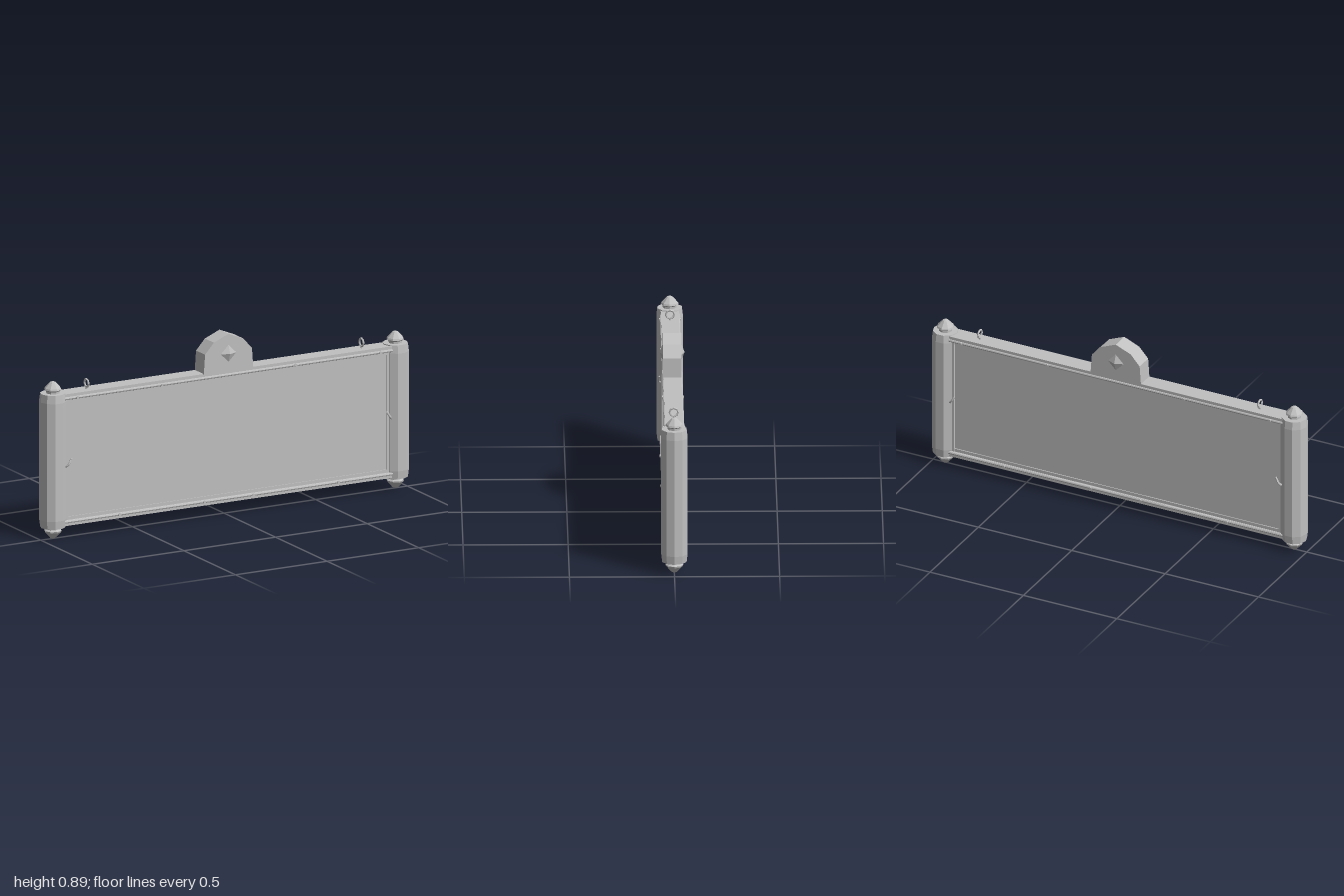
import * as THREE from 'three';

export function createModel() {
  const model = new THREE.Group();
  const grey = new THREE.MeshStandardMaterial({ color: 0xc0c0c0 });
  grey.name = 'plain grey';

  // Every surface is faceted, so give each triangle its own normal.
  function add(name, geometry, x = 0, y = 0, z = 0) {
    const flat = geometry.index ? geometry.toNonIndexed() : geometry;
    flat.computeVertexNormals();
    const mesh = new THREE.Mesh(flat, grey);
    mesh.name = name;
    mesh.position.set(x, y, z);
    model.add(mesh);
    return mesh;
  }
  const box = (name, w, h, d, x, y, z) => add(name, new THREE.BoxGeometry(w, h, d), x, y, z);
  const lathe = (points, sides) =>
    new THREE.LatheGeometry(points.map(([r, y]) => new THREE.Vector2(r, y)), sides, Math.PI / 2);

  // Recessed sign board
  box('panel', 1.78, 0.62, 0.06, 0, 0.39, 0);

  // Top and bottom rails, each with an inner lip and a bead on both faces
  for (const [end, mid, lip, bead] of [['top', 0.702, 0.682, 0.694], ['bottom', 0.08, 0.1, 0.086]]) {
    box(end + 'Rail', 1.8, 0.027, 0.086, 0, mid, 0);
    box(end + 'Lip', 1.78, 0.018, 0.07, 0, lip, 0);
    for (const side of [-1, 1]) {
      const rod = new THREE.CylinderGeometry(0.008, 0.008, 1.79, 8).rotateZ(Math.PI / 2);
      add(end + 'Bead', rod, 0, bead, side * 0.041);
      const spots = end === 'top' ? [0.365, 0.827] : [0.133, 0.597];
      for (const spot of spots) for (const s of [-1, 1]) {
        const stud = new THREE.CylinderGeometry(0.007, 0.007, 0.012, 6).rotateX(Math.PI / 2);
        add('rivet', stud, s * spot, bead, side * 0.047);
      }
    }
  }

  const finial = [[0, -0.005], [0.033, -0.005], [0.033, 0.01], [0.043, 0.017], [0.04, 0.025], [0.014, 0.053], [0, 0.058]];
  for (const s of [-1, 1]) {
    // Ten-sided end posts with tapered ends
    const post = lathe([[0, 0.06], [0.061, 0.06], [0.066, 0.1], [0.066, 0.68], [0.061, 0.72], [0, 0.72]], 10);
    add('endPost', post, s * 0.934);

    // Pointed finials above and below the posts
    add('topFinial', lathe(finial, 8), s * 0.934, 0.72);
    add('bottomFinial', lathe(finial, 8), s * 0.934, 0.06).rotation.x = Math.PI;

    // Slim upright trim beside the post
    box('sideTrim', 0.014, 0.6, 0.074, s * 0.876, 0.39, 0);

    // Hanging eyelets
    const ring = new THREE.TorusGeometry(0.02, 0.005, 5, 8).rotateY(Math.PI / 2);
    add('eyelet', ring, s * 0.75, 0.744, 0);
    add('eyeletStem', new THREE.CylinderGeometry(0.005, 0.005, 0.014, 6), s * 0.75, 0.718, 0);

    // Small bent hooks on both faces
    for (const side of [-1, 1]) {
      const path = new THREE.CatmullRomCurve3([
        new THREE.Vector3(s * 0.893, 0.358, side * 0.034),
        new THREE.Vector3(s * 0.884, 0.363, side * 0.05),
        new THREE.Vector3(s * 0.874, 0.375, side * 0.054),
        new THREE.Vector3(s * 0.862, 0.396, side * 0.05),
      ]);
      add('hook', new THREE.TubeGeometry(path, 6, 0.005, 6));
      const tip = new THREE.OctahedronGeometry(0.006);
      add('hookTip', tip, s * 0.862, 0.396, side * 0.05);
    }
  }

  // Arched crest
  const half = [[0.135, 0.71], [0.128, 0.81], [0.08, 0.863], [0, 0.896]];
  const outline = [...half, ...half.slice(0, 3).reverse().map(([x, y]) => [-x, y])];
  const arch = new THREE.Shape(outline.map(([x, y]) => new THREE.Vector2(x, y)));
  add('crest', new THREE.ExtrudeGeometry(arch, { depth: 0.088, bevelEnabled: false }), 0, 0, -0.044);

  // Diamond studs on the crest
  for (const side of [-1, 1]) {
    const gem = new THREE.ConeGeometry(0.042, 0.016, 4).rotateX(side * Math.PI / 2);
    add('diamondStud', gem, 0, 0.8, side * 0.052);
  }
  return model;
}
